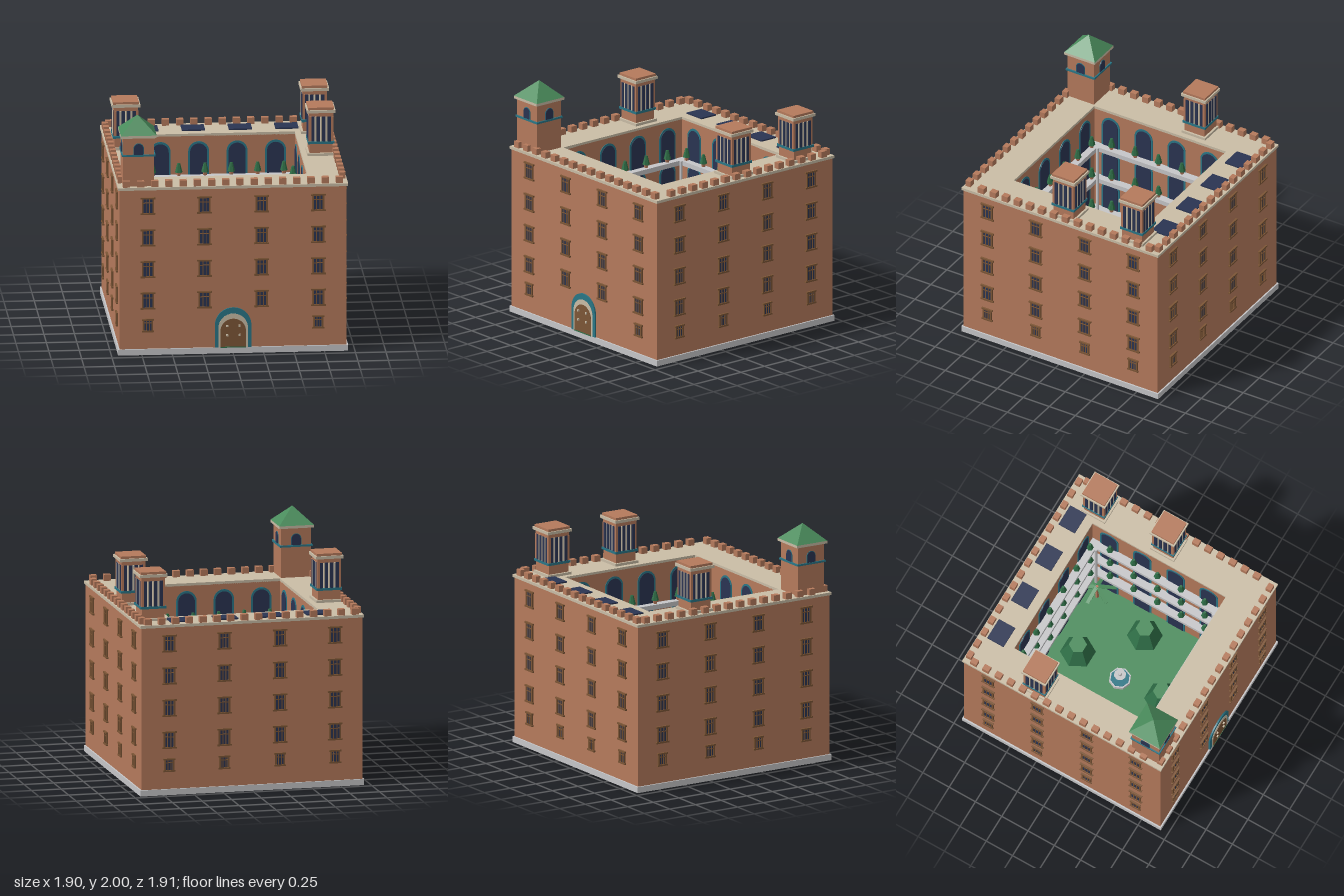
import * as THREE from 'three';

const mat = (name, color) => new THREE.MeshStandardMaterial({ name, color, flatShading: true });
const brick = mat('brick', 0xb57a5c), tan = mat('tan stone', 0xcabda6), grey = mat('grey stone', 0xc6c6c8);
const teal = mat('teal', 0x2a7686), navy = mat('navy glass', 0x2a3452), wood = mat('wood', 0x7d5636);
const green = mat('green', 0x4a8c5c), leafGreen = mat('leaf green', 0x2f6e47);

const WALL = 0.932, YARD = 0.632, ROOF = 1.425;

function add(parent, name, geo, material, x = 0, y = 0, z = 0) {
  const m = new THREE.Mesh(geo, material);
  m.name = name;
  m.position.set(x, y, z);
  parent.add(m);
  return m;
}
// box given by its bottom height and its height
const box = (p, name, material, w, h, d, x, y, z) =>
  add(p, name, new THREE.BoxGeometry(w, h, d), material, x, y + h / 2, z);
const drum = (p, name, material, rTop, rBottom, h, sides, x, y, z, turn = 0) => {
  const m = add(p, name, new THREE.CylinderGeometry(rTop, rBottom, h, sides), material, x, y + h / 2, z);
  m.rotation.y = turn;
  return m;
};
const group = (p, name, x = 0, y = 0, z = 0, turn = 0) => {
  const g = new THREE.Group();
  g.name = name;
  g.position.set(x, y, z);
  g.rotation.y = turn;
  p.add(g);
  return g;
};

// hollow square slab lying flat, from y up to y + h
function ring(p, name, material, outer, inner, y, h) {
  const square = (Type, r) => {
    const s = new Type();
    s.moveTo(-r, -r).lineTo(r, -r).lineTo(r, r).lineTo(-r, r).closePath();
    return s;
  };
  const s = square(THREE.Shape, outer);
  s.holes.push(square(THREE.Path, inner));
  const geo = new THREE.ExtrudeGeometry(s, { depth: h, bevelEnabled: false });
  geo.rotateX(-Math.PI / 2);
  return add(p, name, geo, material, 0, y, 0);
}

// upright plate with a round top, standing on y and projecting to +z
function arch(p, name, material, half, height, depth, x, y, z) {
  const s = new THREE.Shape();
  s.moveTo(-half, 0).lineTo(half, 0).lineTo(half, height - half);
  s.absarc(0, height - half, half, 0, Math.PI, false);
  s.closePath();
  const geo = new THREE.ExtrudeGeometry(s, { depth, bevelEnabled: false, curveSegments: 10 });
  return add(p, name, geo, material, x, y, z);
}

// barred window centred on its own origin, back on z = 0
function makeWindow(width, height) {
  const g = new THREE.Group();
  g.name = 'window';
  const w = width * 0.7, h = height - 0.026;
  box(g, 'glass', navy, w, h, 0.008, 0, -h / 2, 0.002);
  box(g, 'lintel', wood, width, 0.014, 0.018, 0, height / 2 - 0.014, 0.007);
  box(g, 'sill', wood, width, 0.014, 0.018, 0, -height / 2, 0.007);
  for (const s of [-1, 1]) {
    box(g, 'jamb', wood, 0.014, h, 0.014, s * w / 2, -h / 2, 0.006);
    box(g, 'bar', wood, 0.007, h, 0.012, s * w / 6, -h / 2, 0.006);
  }
  box(g, 'crossBar', wood, w, 0.007, 0.011, 0, height * 0.15, 0.006);
  return g;
}

// lookout with columned, glazed sides
function addLookout(p, x, z) {
  const g = group(p, 'lookout', x, 0, z);
  box(g, 'plinth', tan, 0.225, 0.022, 0.225, 0, ROOF, 0);
  box(g, 'pedestal', brick, 0.19, 0.1, 0.19, 0, 1.44, 0);
  box(g, 'band', teal, 0.216, 0.02, 0.216, 0, 1.525, 0);
  box(g, 'glazing', navy, 0.19, 0.215, 0.19, 0, 1.542, 0);
  box(g, 'beam', brick, 0.2, 0.04, 0.2, 0, 1.755, 0);
  box(g, 'eave', tan, 0.234, 0.024, 0.234, 0, 1.79, 0);
  box(g, 'cap', brick, 0.212, 0.02, 0.212, 0, 1.814, 0);
  for (let k = 0; k < 4; k++) {
    const side = group(g, 'lookoutSide', 0, 0, 0, k * Math.PI / 2);
    box(side, 'cornerPost', brick, 0.022, 0.215, 0.022, 0.09, 1.542, 0.09);
    for (const cx of [-0.045, 0, 0.045]) drum(side, 'column', tan, 0.008, 0.008, 0.215, 8, cx, 1.542, 0.097);
    for (const cx of [-0.068, -0.0225, 0.0225, 0.068])
      box(side, 'pane', navy, 0.024, 0.215, 0.008, cx, 1.542, 0.1);
  }
}

// corner tower with arched openings and a pyramid roof
function addTower(p, x, z) {
  const g = group(p, 'tower', x, 0, z);
  box(g, 'towerBody', brick, 0.254, 0.42, 0.254, 0, 1.42, 0);
  box(g, 'towerBand', teal, 0.276, 0.016, 0.276, 0, 1.68, 0);
  box(g, 'towerEave', tan, 0.294, 0.022, 0.294, 0, 1.838, 0);
  drum(g, 'towerRoof', green, 0, 0.147 * Math.SQRT2, 0.14, 4, 0, 1.86, 0, Math.PI / 4);
  for (let k = 0; k < 4; k++) {
    const side = group(g, 'towerSide', 0, 0, 0, k * Math.PI / 2);
    arch(side, 'openingTrim', teal, 0.043, 0.1, 0.005, 0, 1.692, 0.126);
    arch(side, 'opening', navy, 0.038, 0.095, 0.008, 0, 1.692, 0.126);
  }
}

function addPlant(p, x, y, z) {
  const g = group(p, 'pottedPlant', x, y, z);
  drum(g, 'pot', brick, 0.02, 0.015, 0.03, 6, 0, 0, 0, Math.PI / 6);
  drum(g, 'bush', leafGreen, 0.012, 0.031, 0.075, 6, 0, 0.028, 0, Math.PI / 6);
}

function addTree(p, x, z) {
  const g = group(p, 'tree', x, 0.06, z);
  drum(g, 'trunk', wood, 0.02, 0.025, 0.12, 6, 0, 0, 0);
  drum(g, 'crown', leafGreen, 0.075, 0.147, 0.17, 6, 0, 0.11, 0, Math.PI / 6);
  drum(g, 'crownTop', green, 0.075, 0.075, 0.004, 6, 0, 0.279, 0, Math.PI / 6);
}

function addPalm(p, x, z) {
  const g = group(p, 'palm', x, 0.06, z);
  drum(g, 'palmTrunk', brick, 0.012, 0.016, 0.24, 6, 0, 0, 0);
  for (let k = 0; k < 6; k++) {
    const frond = group(g, 'frond', 0, 0.235, 0, k * Math.PI / 3);
    const leaf = add(frond, 'leaf', new THREE.BoxGeometry(0.15, 0.008, 0.03), green, 0.085, -0.01, 0);
    leaf.rotation.z = -0.25;
  }
}

export function createModel() {
  const model = new THREE.Group();
  model.name = 'courtyardBuilding';
  const b = group(model, 'building', 0, 0, -0.01);

  // shell
  box(b, 'base', grey, 1.89, 0.05, 1.89, 0, 0, 0);
  ring(b, 'walls', brick, WALL, YARD, 0.05, 1.355);
  ring(b, 'roofDeck', tan, 0.945, YARD, 1.402, 0.023);
  box(b, 'lawn', green, YARD * 2, 0.012, YARD * 2, 0, 0.049, 0);

  // outer windows and inner arches, one side at a time
  const large = makeWindow(0.122, 0.145), small = makeWindow(0.1, 0.112);
  const sideNames = ['front', 'left', 'back', 'right'];
  for (let k = 0; k < 4; k++) {
    const side = group(b, sideNames[k] + 'Side', 0, 0, 0, k * Math.PI / 2);
    for (const x of [-0.7, -0.235, 0.235, 0.7]) {
      for (const y of [0.46, 0.728, 0.997, 1.267]) {
        const w = large.clone();
        w.position.set(x, y, WALL);
        side.add(w);
      }
      if (k === 0 && Math.abs(x) < 0.5) continue;
      const w = small.clone();
      w.position.set(x, 0.25, WALL);
      side.add(w);
    }
    for (const x of [-0.474, -0.158, 0.158, 0.474])
      for (const y of [0.06, 0.46, 0.77, 1.08]) {
        arch(side, 'archTrim', teal, 0.086, 0.28, 0.006, x, y, -YARD - 0.001);
        arch(side, 'archOpening', navy, 0.07, 0.262, 0.009, x, y, -YARD - 0.001);
      }
  }

  // galleries with potted plants
  for (const y of [0.46, 0.77, 1.08]) {
    ring(b, 'gallery', grey, YARD, 0.565, y - 0.04, 0.04);
    for (const s of [-1, 1]) {
      for (let i = 0; i < 6; i++) addPlant(b, -0.54 + i * 0.216, y, s * 0.603);
      for (let i = 0; i < 5; i++) addPlant(b, s * 0.603, y, -0.45 + i * 0.225);
    }
  }
  for (const x of [-1, 1]) for (const z of [-1, 1])
    drum(b, 'galleryColumn', grey, 0.012, 0.012, 1.02, 8, x * 0.556, 0.06, z * 0.556);

  // battlements
  for (const s of [-1, 1]) {
    for (let i = 0; i < 16; i++) box(b, 'merlon', brick, 0.058, 0.053, 0.048, -0.875 + i * 0.1167, ROOF - 0.001, s * 0.908);
    for (let i = 0; i < 15; i++) box(b, 'merlon', brick, 0.048, 0.053, 0.058, s * 0.911, ROOF - 0.001, -0.845 + i * 0.115);
  }

  // roof features
  for (const x of [-0.575, -0.193, 0.193, 0.575]) box(b, 'solarPanel', navy, 0.19, 0.012, 0.155, x, ROOF - 0.001, -0.79);
  addTower(b, -0.773, 0.773);
  addLookout(b, -0.79, -0.29);
  addLookout(b, 0.79, -0.657);
  addLookout(b, 0.79, 0);

  // entrance
  const door = group(b, 'entrance', 0, 0.05, WALL - 0.002);
  arch(door, 'outerArch', teal, 0.15, 0.338, 0.015, 0, 0, 0);
  arch(door, 'innerArch', tan, 0.122, 0.288, 0.018, 0, 0, 0);
  arch(door, 'doorLeaf', wood, 0.105, 0.245, 0.021, 0, 0, 0);
  box(door, 'threshold', leafGreen, 0.21, 0.008, 0.024, 0, 0, 0.012);
  for (const x of [-0.05, 0.05]) for (const y of [0.1, 0.178])
    box(door, 'stud', tan, 0.016, 0.016, 0.014, x, y, 0.026);

  // garden
  for (const [x, z] of [[0, -0.4], [0, 0.4], [-0.4, 0], [0.4, 0]]) addTree(b, x, z);
  addPalm(b, 0.53, -0.53);
  addPalm(b, -0.53, 0.53);
  const f = group(b, 'fountain', 0, 0.06, 0);
  drum(f, 'basin', grey, 0.092, 0.092, 0.04, 8, 0, 0, 0);
  drum(f, 'water', teal, 0.08, 0.08, 0.004, 8, 0, 0.039, 0);
  drum(f, 'stem', grey, 0.015, 0.02, 0.12, 8, 0, 0.03, 0);
  drum(f, 'bowl', grey, 0.052, 0.02, 0.03, 8, 0, 0.09, 0);
  return model;
}
